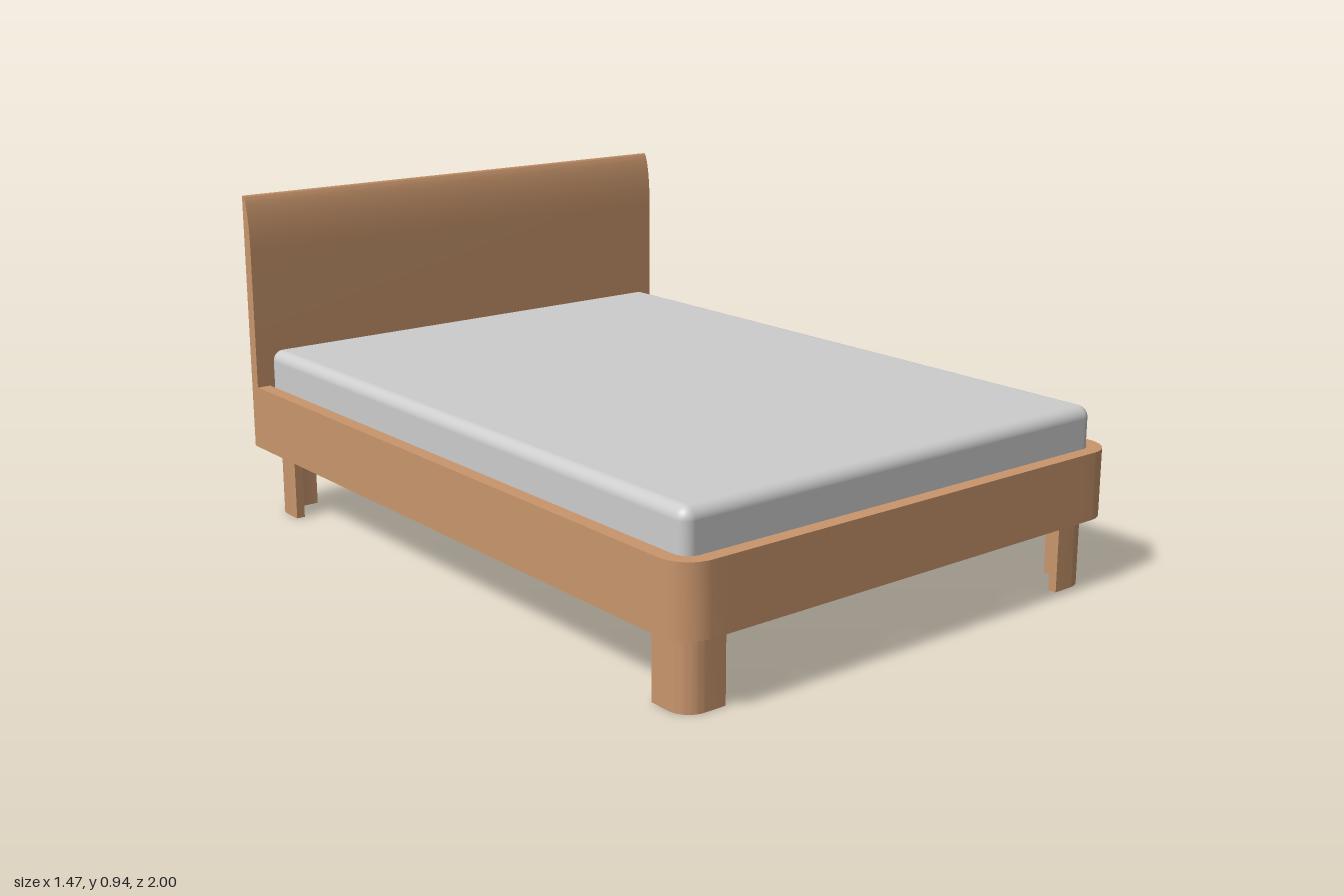
import * as THREE from 'three';
import { toCreasedNormals } from 'three/addons/utils/BufferGeometryUtils.js';
import { RoundedBoxGeometry } from 'three/addons/geometries/RoundedBoxGeometry.js';

const W = 0.735, T = 0.04;          // half width of the bed, rail thickness
const Y0 = 0.195, Y1 = 0.38;        // bottom and top of the rails

// L-shaped strip seen from above, rounded at its outer corner (x, z)
function bentStrip(x, z, length, t, radius, sx, sz, y0, y1) {
  const pts = [];
  const add = (px, pz) => pts.push(new THREE.Vector2(sx * px, sz * pz));
  const arc = (r, reverse) => {
    for (let i = 0; i <= 12; i++) {
      const a = (reverse ? 12 - i : i) / 12 * Math.PI / 2;
      add(x - radius + r * Math.cos(a), z - radius + r * Math.sin(a));
    }
  };
  add(x, z - length);
  arc(radius, false);
  add(x - length, z);
  add(x - length, z - t);
  arc(radius - t, true);
  add(x - t, z - length);
  const geo = new THREE.ExtrudeGeometry(new THREE.Shape(pts), { depth: y1 - y0, bevelEnabled: false });
  geo.rotateX(Math.PI / 2).translate(0, y1, 0);
  return toCreasedNormals(geo, 0.6);
}

export function createModel() {
  const wood = new THREE.MeshStandardMaterial({ color: 0xc8956c });
  const fabric = new THREE.MeshStandardMaterial({ color: 0xcccccc });
  wood.name = 'wood';
  fabric.name = 'light grey';

  const bed = new THREE.Group();
  bed.name = 'bed';
  const add = (name, geo, mat, x = 0, y = 0, z = 0) => {
    const mesh = new THREE.Mesh(geo, mat);
    mesh.name = name;
    mesh.position.set(x, y, z);
    bed.add(mesh);
  };
  const box = (name, x0, x1, y0, y1, z0, z1) => add(name,
    new THREE.BoxGeometry(x1 - x0, y1 - y0, z1 - z0), wood,
    (x0 + x1) / 2, (y0 + y1) / 2, (z0 + z1) / 2);

  // Headboard: flat back, front face curving back towards the top edge
  const profile = new THREE.Shape();
  profile.moveTo(-1, Y0);
  profile.lineTo(-0.965, Y0);
  profile.lineTo(-0.965, 0.78);
  profile.bezierCurveTo(-0.965, 0.85, -0.973, 0.91, -0.987, 0.94);
  profile.quadraticCurveTo(-0.99, 0.945, -0.994, 0.945);
  profile.lineTo(-1, 0.943);
  profile.closePath();
  const board = new THREE.ExtrudeGeometry(profile, { depth: 2 * W, bevelEnabled: false, curveSegments: 16 });
  board.rotateY(-Math.PI / 2).translate(W, 0, 0);
  add('headboard', toCreasedNormals(board, 0.5), wood);

  // Rails
  box('footRail', -0.59, 0.59, Y0, Y1, 1 - T, 1);
  box('rightRail', -W, -W + T, Y0, Y1, -0.965, 0.855);
  box('leftRail', W - T, W, Y0, Y1, -0.965, 0.855);

  // Rounded foot corners and the four bent legs
  for (const sx of [-1, 1]) {
    add('footCorner', bentStrip(W, 1, 0.145, T, 0.085, sx, 1, Y0, Y1), wood);
    for (const sz of [-1, 1]) {
      add('leg', bentStrip(0.694, 0.959, 0.12, 0.025, 0.06, sx, sz, 0, 0.29), wood);
    }
  }

  // Mattress
  add('mattress', new RoundedBoxGeometry(1.386, 0.2, 1.915, 6, 0.032), fabric, 0, 0.39, -0.005);

  // Centre beam and its adjustable support
  box('centreBeam', -0.03, 0.03, 0.25, 0.291, -0.965, 0.96);
  add('supportPost', new THREE.CylinderGeometry(0.025, 0.025, 0.205, 32), wood, 0, 0.1475, 0);
  add('supportRod', new THREE.CylinderGeometry(0.015, 0.015, 0.04, 24), fabric, 0, 0.026, 0);
  add('supportFoot', new THREE.CylinderGeometry(0.034, 0.034, 0.008, 32), wood, 0, 0.004, 0);

  return bed;
}
